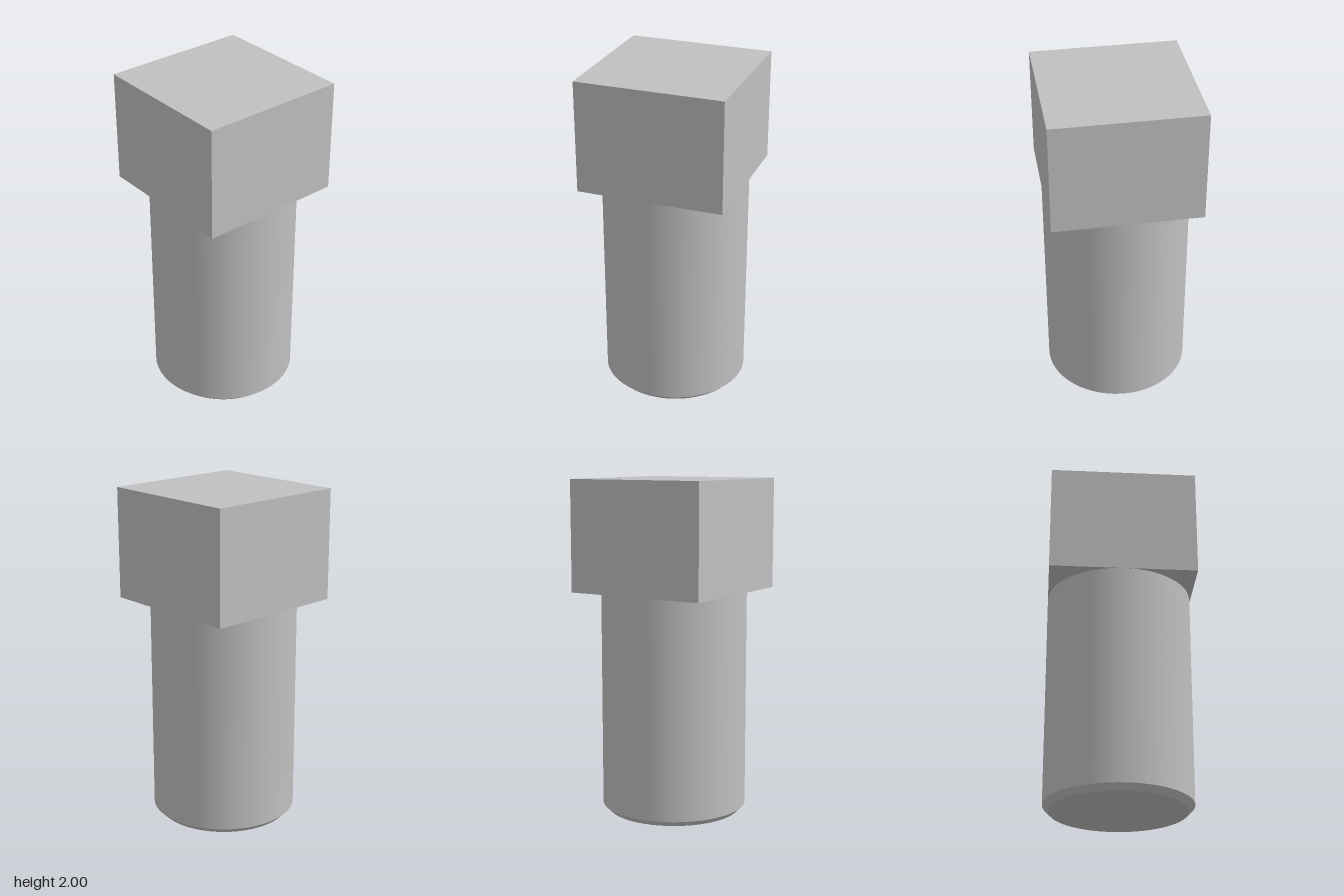
import * as THREE from 'three';

export function createModel() {
  const model = new THREE.Group();
  const steel = new THREE.MeshStandardMaterial({ color: 0xc0c0c0 });
  steel.name = 'plain steel';

  const radius = 0.435, tipRadius = 0.4;
  const chamferTop = 0.035, headBottom = 1.34, top = 2;
  const segments = 96;

  const add = (name, geometry, y) => {
    const mesh = new THREE.Mesh(geometry, steel);
    mesh.name = name;
    mesh.position.y = y;
    model.add(mesh);
  };

  // Square head, as wide as the shank
  const headHeight = top - headBottom;
  add('squareHead', new THREE.BoxGeometry(radius * 2, headHeight, radius * 2), headBottom + headHeight / 2);

  // Smooth round shank
  const shankHeight = headBottom - chamferTop;
  add('shank', new THREE.CylinderGeometry(radius, radius, shankHeight, segments, 1, true), chamferTop + shankHeight / 2);

  // Chamfered tip and its flat end
  add('tipChamfer', new THREE.CylinderGeometry(radius, tipRadius, chamferTop, segments, 1, true), chamferTop / 2);
  add('tipEnd', new THREE.CircleGeometry(tipRadius, segments).rotateX(Math.PI / 2), 0);

  return model;
}
